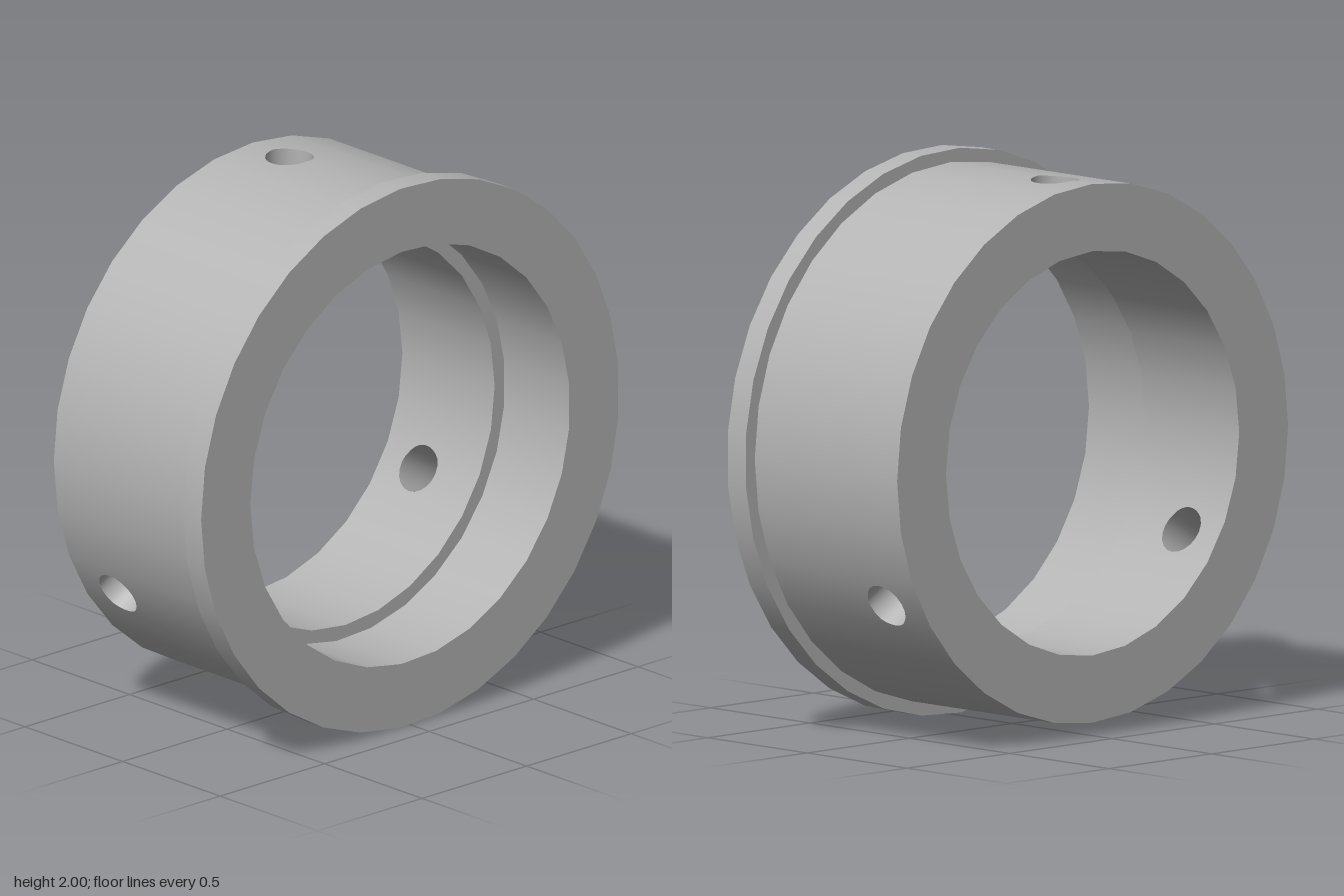
import * as THREE from 'three';
import { mergeGeometries } from 'three/addons/utils/BufferGeometryUtils.js';

const { PI, cos, sin, asin, acos } = Math;
const V2 = (x, y) => new THREE.Vector2(x, y);

// Concentric circles of the sleeve: radius, facet count and first-corner angle
const FLANGE = { r: 1, n: 33, start: PI };
const BODY = { r: 0.953, n: 32, start: 0 };
const COUNTERBORE = { r: 0.765, n: 29, start: PI };
const BORE = { r: 0.715, n: 28, start: 0 };

// Positions along the axis
const FRONT = 0.403, SHOULDER = 0.312, STEP = 0.07, BACK = -0.403;

// Three radial screw holes
const HOLE_R = 0.086, HOLE_Z = -0.215;
const HOLE_ANGLES = [PI / 2, PI * 7 / 6, PI * 11 / 6];

// Distance from the axis to the faceted wall at angle u
function facetRadius(c, u) {
  const step = 2 * PI / c.n;
  const k = Math.floor((u - c.start) / step + 1e-6);
  return c.r * cos(step / 2) / cos(u - c.start - (k + 0.5) * step);
}

// Rim of a screw hole in unrolled coordinates (angle, z)
const rimPoint = (c, centre, a) =>
  V2(centre + asin(HOLE_R * cos(a) / c.r), HOLE_Z + HOLE_R * sin(a));

function flip(geo) {
  const idx = geo.index.array, nor = geo.attributes.normal.array;
  for (let i = 0; i < idx.length; i += 3) [idx[i], idx[i + 1]] = [idx[i + 1], idx[i]];
  for (let i = 0; i < nor.length; i++) nor[i] *= -1;
  return geo;
}

// Faceted cylinder wall, with a notch in the two facets meeting at each hole
function wall(c, z0, z1, inward = false, holes = []) {
  const step = 2 * PI / c.n, parts = [];
  const notches = new Map();
  for (const h of holes) {
    const m = Math.round((h - c.start) / step);
    notches.set((m - 1 + c.n) % c.n, { h, m, left: true });
    notches.set((m + c.n) % c.n, { h, m, left: false });
  }
  for (let i = 0; i < c.n; i++) {
    const u0 = c.start + i * step, u1 = u0 + step;
    const pts = [V2(u0, z0), V2(u1, z0), V2(u1, z1), V2(u0, z1)];
    const notch = notches.get(i);
    if (notch) {
      const { h, m, left } = notch;
      const cross = acos(c.r * sin(c.start + m * step - h) / HOLE_R);
      const from = left ? 2 * PI - cross : cross;
      const to = left ? cross : -cross;
      const arc = [];
      for (let k = 0; k <= 14; k++) arc.push(rimPoint(c, h, from + (to - from) * k / 14));
      if (left) pts.splice(2, 0, ...arc);
      else pts.push(...arc);
    }
    const geo = new THREE.ShapeGeometry(new THREE.Shape(pts));
    const pos = geo.attributes.position, nor = geo.attributes.normal;
    const mid = u0 + step / 2;
    for (let k = 0; k < pos.count; k++) {
      const u = pos.getX(k), z = pos.getY(k);
      const r = c.r * cos(step / 2) / cos(u - mid);
      pos.setXYZ(k, r * cos(u), r * sin(u), z);
      nor.setXYZ(k, cos(u), sin(u), 0);
    }
    parts.push(geo);
  }
  const geo = mergeGeometries(parts);
  return inward ? flip(geo) : geo;
}

// Flat ring between two faceted circles
function ring(outer, inner, z, back = false) {
  const corners = (c) => Array.from({ length: c.n }, (_, i) => {
    const u = c.start + i * 2 * PI / c.n;
    return V2(c.r * cos(u), c.r * sin(u));
  });
  const shape = new THREE.Shape(corners(outer));
  shape.holes.push(new THREE.Path(corners(inner)));
  const geo = new THREE.ShapeGeometry(shape).translate(0, 0, z);
  return back ? flip(geo) : geo;
}

// Lining of a screw hole, from the outer wall to the bore
function holeLining(h) {
  const N = 28, pos = [], nor = [], idx = [];
  for (let i = 0; i <= N; i++) {
    const a = i * 2 * PI / N;
    for (const c of [BODY, BORE]) {
      const p = rimPoint(c, h, a), r = facetRadius(c, p.x);
      pos.push(r * cos(p.x), r * sin(p.x), p.y);
      nor.push(sin(h) * cos(a), -cos(h) * cos(a), -sin(a));
    }
    const k = i * 2;
    if (i < N) idx.push(k, k + 2, k + 1, k + 1, k + 2, k + 3);
  }
  const geo = new THREE.BufferGeometry();
  geo.setAttribute('position', new THREE.Float32BufferAttribute(pos, 3));
  geo.setAttribute('normal', new THREE.Float32BufferAttribute(nor, 3));
  geo.setIndex(idx);
  return geo;
}

export function createModel() {
  const grey = new THREE.MeshStandardMaterial({ color: 0xb4b4b4 });
  grey.name = 'grey';
  const lining = grey.clone();
  lining.side = THREE.DoubleSide;

  const model = new THREE.Group();
  model.name = 'flangedSleeve';
  const add = (name, geo, mat = grey) => {
    const mesh = new THREE.Mesh(geo, mat);
    mesh.name = name;
    mesh.position.y = 1;
    model.add(mesh);
  };

  // Flange at the front
  add('flangeRim', wall(FLANGE, SHOULDER, FRONT));
  add('flangeFace', ring(FLANGE, COUNTERBORE, FRONT));
  add('flangeShoulder', ring(FLANGE, BODY, SHOULDER, true));

  // Body
  add('bodyWall', wall(BODY, BACK, SHOULDER, false, HOLE_ANGLES));
  add('backFace', ring(BODY, BORE, BACK, true));

  // Stepped bore
  add('counterboreWall', wall(COUNTERBORE, STEP, FRONT, true));
  add('boreStep', ring(COUNTERBORE, BORE, STEP));
  add('boreWall', wall(BORE, BACK, STEP, true, HOLE_ANGLES));

  // Screw holes
  HOLE_ANGLES.forEach((h, i) => add('screwHole' + (i + 1), holeLining(h), lining));
  return model;
}
